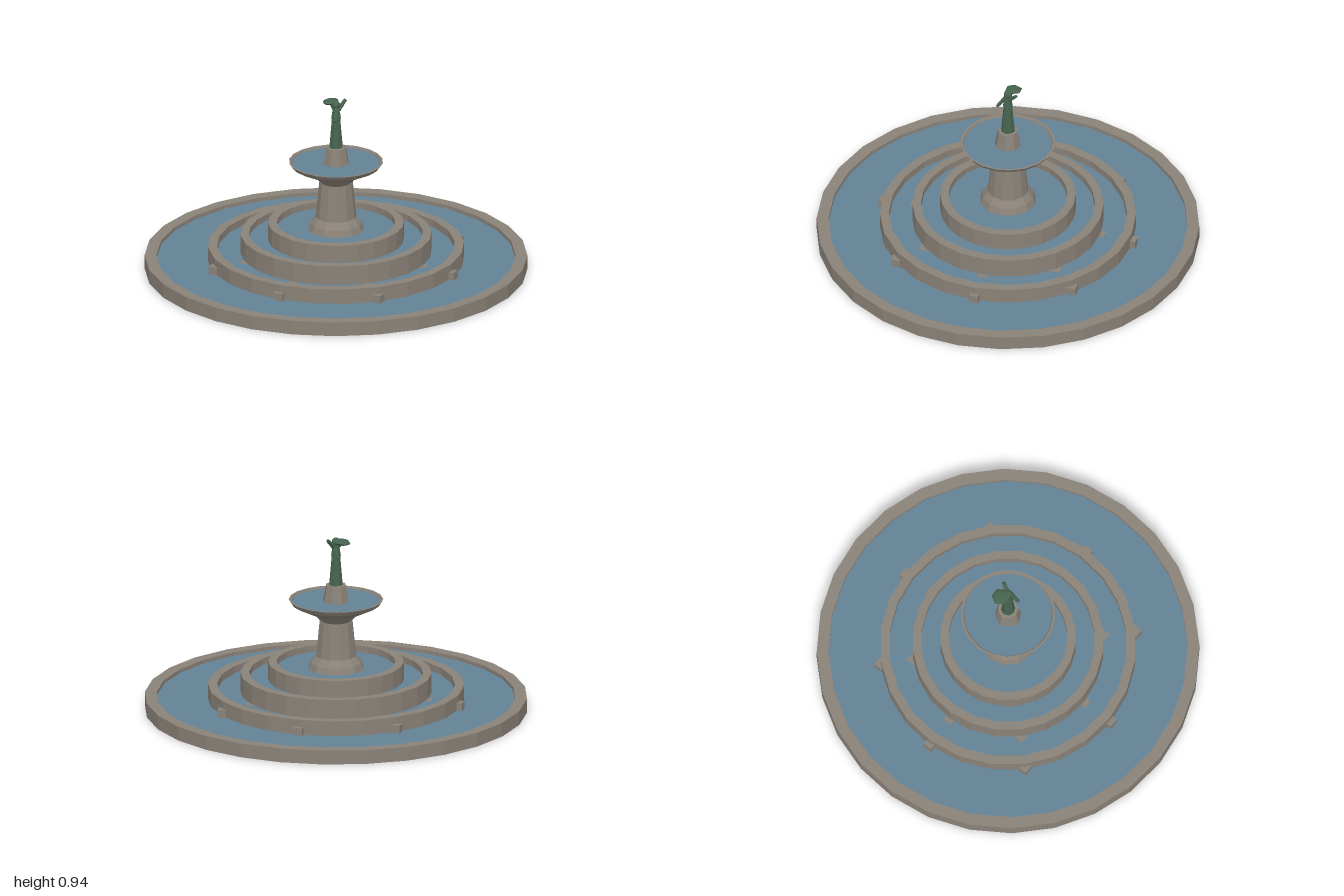
import * as THREE from 'three';

export function createModel() {
  const model = new THREE.Group();
  const material = (name, color) => {
    const m = new THREE.MeshStandardMaterial({ color, flatShading: true });
    m.name = name;
    return m;
  };
  const stone = material('stone', 0x8a8278);
  const water = material('water', 0x628294);
  const bronze = material('greenBronze', 0x46634f);

  const add = (name, geometry, mat, x = 0, y = 0, z = 0) => {
    const mesh = new THREE.Mesh(geometry, mat);
    mesh.name = name;
    mesh.position.set(x, y, z);
    model.add(mesh);
    return mesh;
  };
  const lathe = (name, points, sides, mat) =>
    add(name, new THREE.LatheGeometry(points.map(([r, y]) => new THREE.Vector2(r, y)), sides), mat);
  const ring = (name, inner, outer, y0, y1, sides) =>
    lathe(name, [[inner, y0], [outer, y0], [outer, y1], [inner, y1], [inner, y0]], sides, stone);
  const pool = (name, r, y0, y1, sides) =>
    add(name, new THREE.CylinderGeometry(r, r, y1 - y0, sides), water, 0, (y0 + y1) / 2, 0);
  // Tapered rod between two points
  const rod = (name, a, b, ra, rb, sides = 6) => {
    const from = new THREE.Vector3(...a), to = new THREE.Vector3(...b);
    const dir = to.clone().sub(from);
    const mesh = add(name, new THREE.CylinderGeometry(rb, ra, dir.length(), sides), bronze);
    mesh.position.copy(from).add(to).multiplyScalar(0.5);
    mesh.quaternion.setFromUnitVectors(new THREE.Vector3(0, 1, 0), dir.normalize());
    return mesh;
  };

  // Wide lower basin and three stepped basins, each filled with water
  ring('basinRim', 0.938, 1, 0, 0.075, 28);
  pool('basinWater', 0.94, 0.035, 0.055, 28);
  const tiers = [
    { r: 0.67, inner: 0.622, top: 0.135, level: 0.096 },
    { r: 0.5, inner: 0.455, top: 0.2, level: 0.165 },
    { r: 0.355, inner: 0.31, top: 0.26, level: 0.225 },
  ];
  tiers.forEach(({ r, inner, top, level }, i) => {
    ring(`tierWall${i + 1}`, inner, r, 0.045, top, 24);
    pool(`tierWater${i + 1}`, inner + 0.01, level - 0.02, level, 24);
    // Eight square spouts around the wall
    for (let k = 0; k < 8; k++) {
      const a = (k * Math.PI) / 4;
      add('spout', new THREE.BoxGeometry(0.05, 0.097, 0.05), stone,
        Math.sin(a) * r, 0.0485, Math.cos(a) * r);
    }
  });

  // Column with a flared foot
  lathe('column', [[0.15, 0.22], [0.135, 0.26], [0.107, 0.295], [0.088, 0.485], [0, 0.485]], 12, stone);

  // Upper bowl
  lathe('upperBowl', [[0, 0.48], [0.075, 0.48], [0.115, 0.52], [0.232, 0.578], [0.247, 0.6],
    [0.235, 0.6], [0.225, 0.58], [0, 0.57]], 20, stone);
  pool('upperWater', 0.231, 0.582, 0.59, 20);

  // Statue plinth
  add('plinth', new THREE.CylinderGeometry(0.054, 0.071, 0.095, 8), stone, 0, 0.6325, 0);

  // Statue: robe, shoulders, head, arms and the broad flat piece it holds
  add('robe', new THREE.CylinderGeometry(0.022, 0.037, 0.17, 8), bronze, 0, 0.765, 0);
  add('shoulders', new THREE.CylinderGeometry(0.017, 0.027, 0.06, 8), bronze, 0, 0.868, 0);
  add('head', new THREE.IcosahedronGeometry(0.023, 1), bronze, 0, 0.913, 0);
  rod('loweredArm', [0.012, 0.9, 0.01], [0.02, 0.84, 0.053], 0.012, 0.009);
  rod('raisedArm', [0.01, 0.885, -0.008], [0.03, 0.932, -0.052], 0.012, 0.009);
  rod('holdingArm', [-0.008, 0.885, 0], [-0.035, 0.912, -0.015], 0.011, 0.009);
  const piece = add('heldPiece', new THREE.SphereGeometry(0.046, 6, 4), bronze, -0.04, 0.92, -0.02);
  piece.scale.set(1, 0.3, 1);
  piece.rotation.z = 0.12;

  return model;
}
